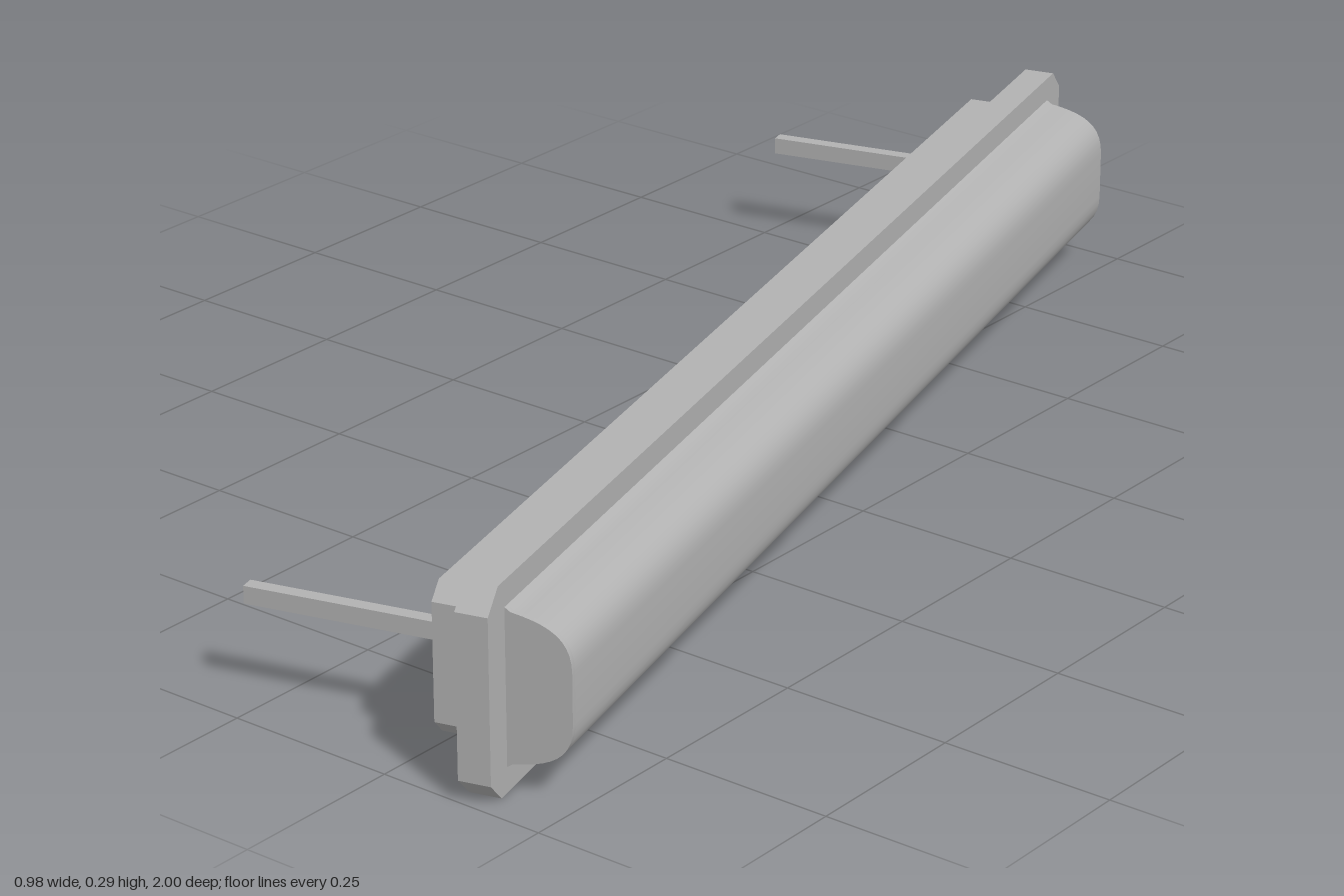
import * as THREE from 'three';
import { toCreasedNormals } from 'three/addons/utils/BufferGeometryUtils.js';

const MID = 0.145; // height of the centre line

export function createModel() {
  const model = new THREE.Group();
  model.name = 'lightBar';
  const grey = new THREE.MeshStandardMaterial({ color: 0xb2b2b2 });
  grey.name = 'grey';

  // everything is built along z, then the whole bar is turned
  const bar = new THREE.Group();
  bar.name = 'bar';
  bar.rotation.y = THREE.MathUtils.degToRad(15);
  model.add(bar);

  const add = (name, geometry) => {
    const mesh = new THREE.Mesh(geometry, grey);
    mesh.name = name;
    bar.add(mesh);
    return mesh;
  };

  // upright slab with chamfered corners, extruded along x
  const slab = (name, x0, x1, y0, y1, z0, z1, c) => {
    const h = (z1 - z0) / 2;
    const shape = new THREE.Shape([
      [-h + c, y0], [h - c, y0], [h, y0 + c], [h, y1 - c],
      [h - c, y1], [-h + c, y1], [-h, y1 - c], [-h, y0 + c],
    ].map(([a, b]) => new THREE.Vector2(a, b)));
    const g = new THREE.ExtrudeGeometry(shape, { depth: x1 - x0, bevelEnabled: false });
    g.rotateY(Math.PI / 2);
    g.translate(x0, 0, (z0 + z1) / 2);
    return add(name, g);
  };

  // profile in x and y, extruded along z with smooth curves
  const rail = (name, shape, z0, z1) => {
    const g = new THREE.ExtrudeGeometry(shape, { depth: z1 - z0, bevelEnabled: false, curveSegments: 10 });
    g.translate(0, 0, z0);
    return add(name, toCreasedNormals(g, 0.6));
  };

  slab('flange', 0.1, 0.145, 0, 0.29, -0.996, 1.062, 0.03);
  slab('backBlock', 0.032, 0.1, 0.04, 0.25, -0.933, 0.987, 0.022);

  // domed cover: outline running from the lower to the upper edge
  const half = 0.11;
  const outline = new THREE.Shape();
  outline.moveTo(0.144, MID - half);
  outline.lineTo(0.153, MID - half + 0.006);
  outline.bezierCurveTo(0.205, MID - 0.096, 0.235, MID - 0.082, 0.235, MID - 0.035);
  outline.lineTo(0.235, MID + 0.035);
  outline.bezierCurveTo(0.235, MID + 0.082, 0.205, MID + 0.096, 0.153, MID + half - 0.006);
  outline.lineTo(0.144, MID + half);
  rail('coverEnd', outline, 1.007, 1.015);

  // thin wall, open at the back end
  const wall = outline.clone();
  const w = 0.004;
  wall.lineTo(0.144, MID + half - w);
  wall.lineTo(0.153, MID + half - 0.006 - w);
  wall.bezierCurveTo(0.205, MID + 0.092, 0.231, MID + 0.078, 0.231, MID + 0.035);
  wall.lineTo(0.231, MID - 0.035);
  wall.bezierCurveTo(0.231, MID - 0.078, 0.205, MID - 0.092, 0.153, MID - half + 0.006 + w);
  wall.lineTo(0.144, MID - half + w);
  rail('cover', wall, -0.941, 1.007);

  // pair of half-round tubes inside the cover
  for (const side of [-1, 1]) {
    const tube = new THREE.Shape();
    tube.absarc(0.144, MID + side * 0.041, 0.04, -Math.PI / 2, Math.PI / 2, false);
    rail(side < 0 ? 'lowerTube' : 'upperTube', tube, -0.945, 1.0);
  }

  // contact pins
  for (const [name, z] of [['backPin', -0.872], ['frontPin', 0.897]]) {
    add(name, new THREE.BoxGeometry(0.31, 0.025, 0.02)).position.set(-0.12, MID, z);
  }

  return model;
}
